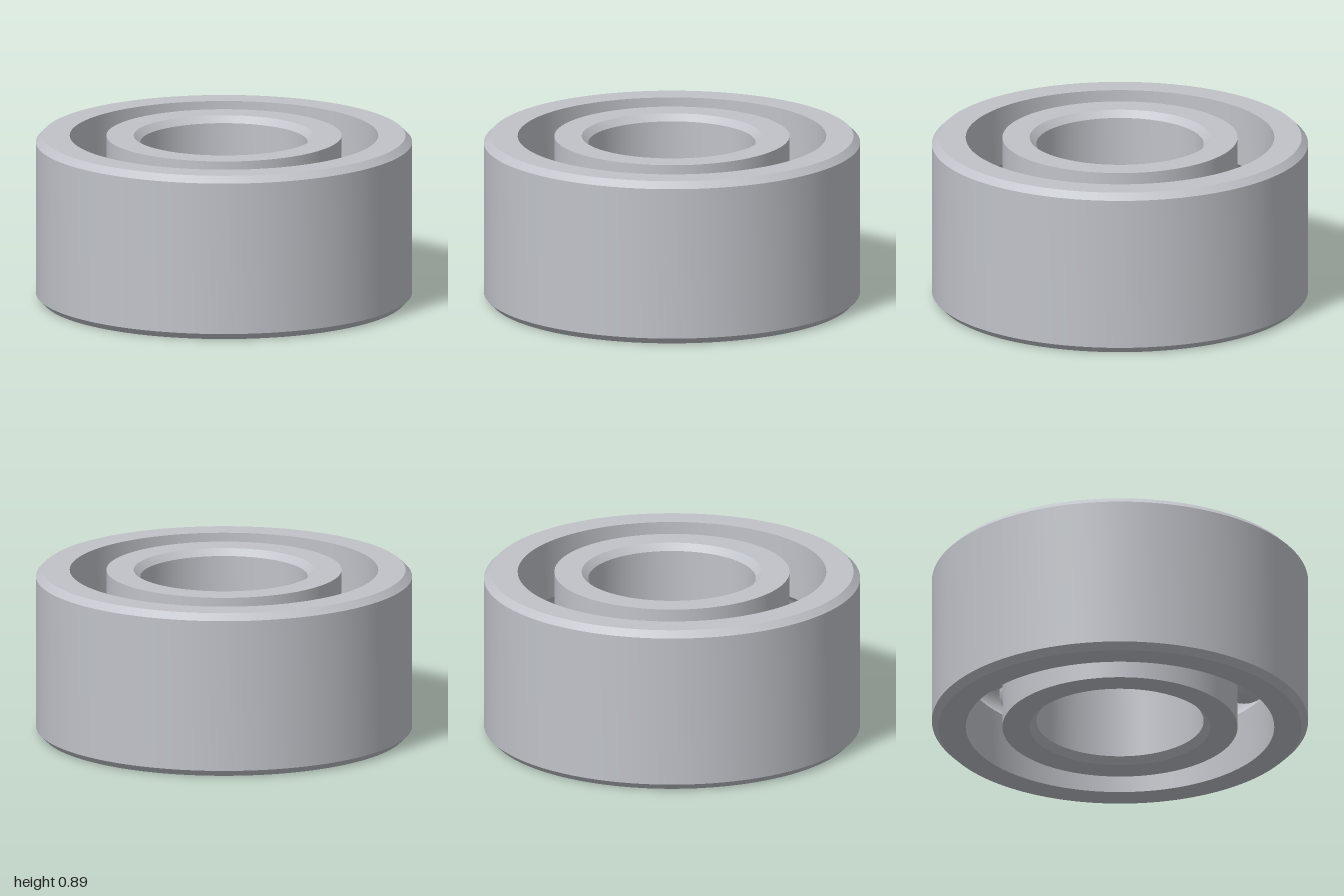
import * as THREE from 'three';
import { toCreasedNormals } from 'three/addons/utils/BufferGeometryUtils.js';

const HEIGHT = 0.89, MID = HEIGHT / 2, CHAMFER = 0.035;
const BALL_R = 0.155, PITCH_R = 0.7225, GROOVE_R = 0.158, BALLS = 10;

// Groove arc that cuts the race wall at wallR; side is +1 for the outer race, -1 for the inner
function groove(wallR, side) {
  const half = Math.acos(Math.abs(wallR - PITCH_R) / GROOVE_R), steps = 14;
  return Array.from({ length: steps + 1 }, (_, i) => {
    const a = half * (1 - (2 * i) / steps);
    return new THREE.Vector2(
      PITCH_R + side * GROOVE_R * Math.cos(a),
      MID + side * GROOVE_R * Math.sin(a));
  });
}

// Closed counter-clockwise profile, turned into a ring with sharp edges
function ring(name, profile, material) {
  const geometry = new THREE.LatheGeometry([...profile, profile[0].clone()], 128);
  const mesh = new THREE.Mesh(toCreasedNormals(geometry, 0.5), material);
  mesh.name = name;
  return mesh;
}

export function createModel() {
  const model = new THREE.Group();
  model.name = 'ballBearing';
  const steel = new THREE.MeshStandardMaterial({ color: 0xc0c3c9 });
  steel.name = 'steel';
  const p = (r, y) => new THREE.Vector2(r, y);

  // Outer ring: chamfered outside, ball groove inside
  const outerWall = 0.82;
  model.add(ring('outerRing', [
    p(outerWall, 0), p(1 - CHAMFER, 0), p(1, CHAMFER),
    p(1, HEIGHT - CHAMFER), p(1 - CHAMFER, HEIGHT), p(outerWall, HEIGHT),
    ...groove(outerWall, 1),
  ], steel));

  // Inner ring: chamfered bore, ball groove outside
  const innerWall = 0.625, bore = 0.445;
  model.add(ring('innerRing', [
    p(innerWall, HEIGHT), p(bore + CHAMFER, HEIGHT), p(bore, HEIGHT - CHAMFER),
    p(bore, CHAMFER), p(bore + CHAMFER, 0), p(innerWall, 0),
    ...groove(innerWall, -1),
  ], steel));

  // Balls spaced evenly between the rings
  const ballGeometry = new THREE.SphereGeometry(BALL_R, 40, 24);
  const balls = new THREE.Group();
  balls.name = 'balls';
  for (let i = 0; i < BALLS; i++) {
    const a = (i / BALLS) * Math.PI * 2;
    const ball = new THREE.Mesh(ballGeometry, steel);
    ball.name = 'ball';
    ball.position.set(PITCH_R * Math.cos(a), MID, PITCH_R * Math.sin(a));
    balls.add(ball);
  }
  model.add(balls);
  return model;
}
